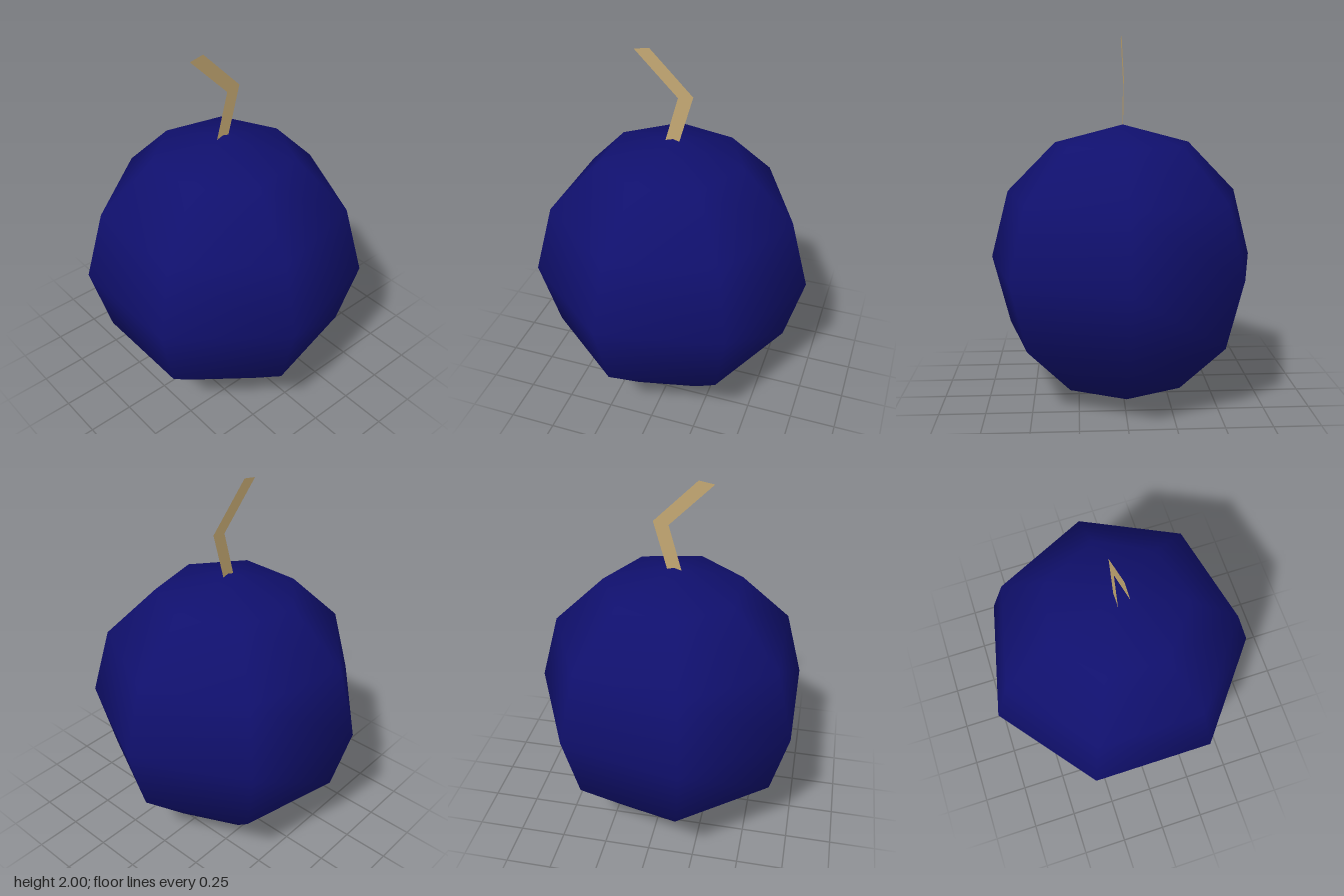
import * as THREE from 'three';

export function createModel() {
  const model = new THREE.Group();
  const skin = new THREE.MeshStandardMaterial({ color: 0x10106e });
  skin.name = 'dark blue skin';
  const stalk = new THREE.MeshStandardMaterial({ color: 0xc6aa74, side: THREE.DoubleSide });
  stalk.name = 'tan stalk';

  // Round berry: seven-sided smooth sphere with one corner pointing back
  const berry = new THREE.Mesh(new THREE.SphereGeometry(0.76, 7, 6, -Math.PI / 2), skin);
  berry.name = 'berry';
  berry.position.set(0, 0.76, 0.038);
  model.add(berry);

  // Flat bent stem in the x = 0 plane, drawn as (z, y) and turned sideways
  const outline = [
    [0.085, 1.485], [0.01, 1.755], [0.238, 1.985],
    [0.158, 2.0], [-0.07, 1.77], [0.01, 1.485],
  ].map(([z, y]) => new THREE.Vector2(-z, y));
  const stem = new THREE.Mesh(new THREE.ShapeGeometry(new THREE.Shape(outline)), stalk);
  stem.name = 'stem';
  stem.rotation.y = Math.PI / 2;
  model.add(stem);

  return model;
}
